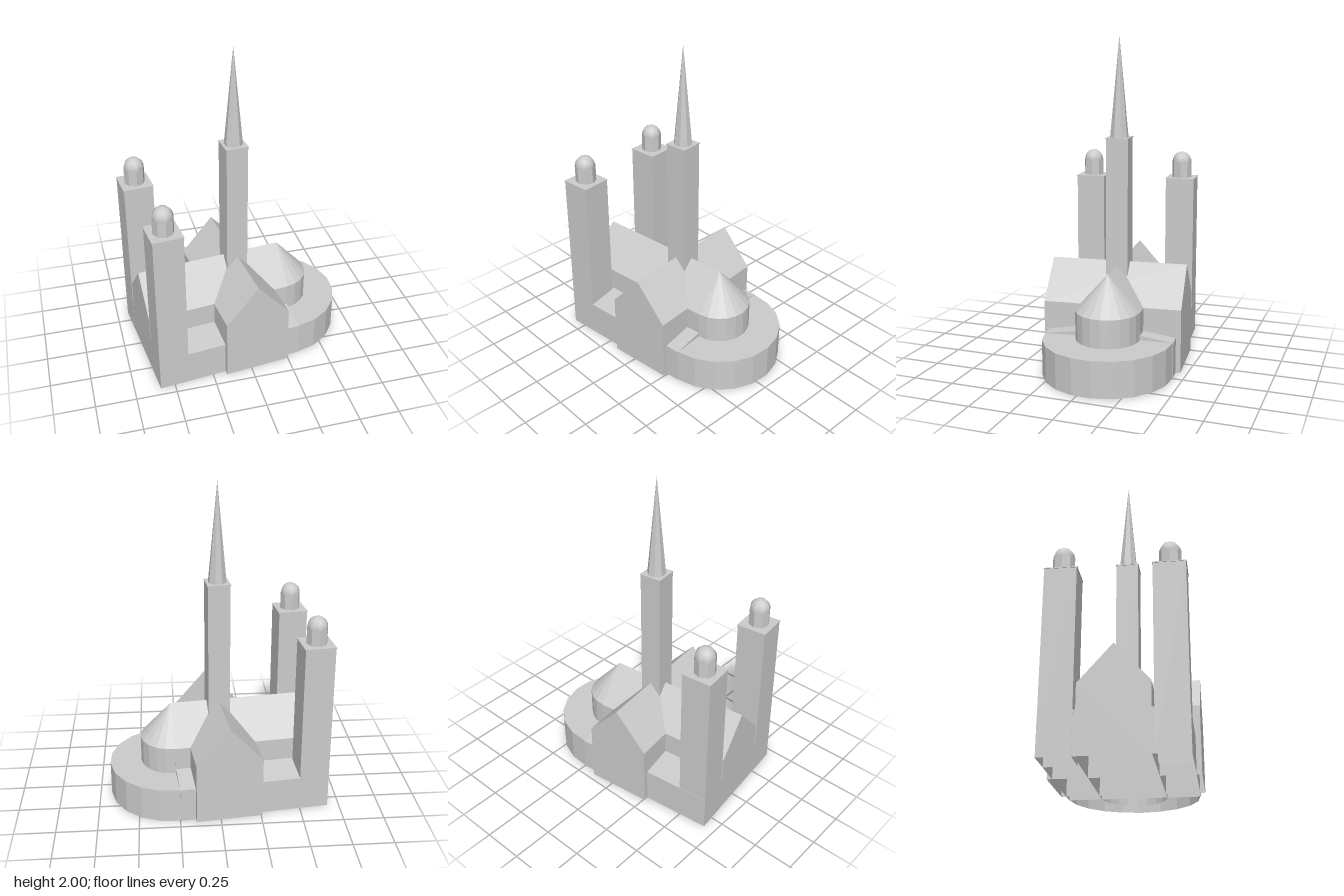
import * as THREE from 'three';

const HALF_NAVE = 0.196, HALF_AISLE = 0.395, APSE_U = 0.298, WEST = -0.63;

// Remove the faces lying on the ground, leaving a hollow shell
function openBottom(geometry) {
  const flat = geometry.index ? geometry.toNonIndexed() : geometry;
  const p = flat.attributes.position;
  const kept = [];
  for (let i = 0; i < p.count; i += 3) {
    if (Math.max(p.getY(i), p.getY(i + 1), p.getY(i + 2)) < 1e-4) continue;
    for (let j = i; j < i + 3; j++) kept.push(p.getX(j), p.getY(j), p.getZ(j));
  }
  const out = new THREE.BufferGeometry();
  out.setAttribute('position', new THREE.Float32BufferAttribute(kept, 3));
  out.computeVertexNormals();
  return out;
}

// Extrude a cross-section (points x, y) along z from 0 to length
function prism(points, length) {
  const shape = new THREE.Shape(points.map(([x, y]) => new THREE.Vector2(x, y)));
  return openBottom(new THREE.ExtrudeGeometry(shape, { depth: length, bevelEnabled: false }));
}

const gable = (half, eaves, ridge) =>
  [[-half, 0], [half, 0], [half, eaves], [0, ridge], [-half, eaves]];

export function createModel() {
  const stone = new THREE.MeshStandardMaterial({ color: 0xcccccc });
  stone.name = 'stone grey';
  stone.side = THREE.DoubleSide;
  stone.flatShading = true;
  const smoothStone = stone.clone();
  smoothStone.flatShading = false;

  const model = new THREE.Group();
  model.name = 'church';
  const church = new THREE.Group();
  church.name = 'churchBody';
  church.position.set(-0.007, 0, -0.014);
  church.rotation.y = 0.111;
  model.add(church);

  const add = (name, geometry, x = 0, y = 0, z = 0, parent = church, material = stone) => {
    const mesh = new THREE.Mesh(geometry, material);
    mesh.name = name;
    mesh.position.set(x, y, z);
    parent.add(mesh);
    return mesh;
  };

  // Nave and transept with pitched roofs
  const nave = prism(gable(HALF_NAVE, 0.39, 0.61), APSE_U - WEST);
  nave.rotateY(Math.PI / 2);
  add('nave', nave, WEST);
  add('transept', prism(gable(0.205, 0.39, 0.62), 0.85), 0, 0, -0.425);

  // Low side aisles with gently sloping roofs
  for (const side of [-1, 1]) {
    const section = [[HALF_NAVE, 0], [HALF_AISLE, 0], [HALF_AISLE, 0.218], [HALF_NAVE, 0.247]];
    const aisle = prism(section, APSE_U - WEST);
    aisle.rotateY(Math.PI / 2); // section x now points to -z
    if (side > 0) {
      aisle.rotateY(Math.PI);
      add('leftAisle', aisle, APSE_U);
    } else {
      add('rightAisle', aisle, WEST);
    }
  }

  // Half-round apse with a conical roof
  const half = (top, bottom, h) =>
    new THREE.CylinderGeometry(top, bottom, h, 10, 1, true, 0, Math.PI).translate(0, h / 2, 0);
  add('apseWall', half(0.194, 0.194, 0.39), APSE_U);
  add('apseRoof', half(0, 0.194, 0.22), APSE_U, 0.39);

  // Low flat-roofed ambulatory around the apse
  add('ambulatoryWall', half(0.392, 0.392, 0.218), APSE_U);
  const ring = new THREE.RingGeometry(0.194, 0.392, 10, 1, -Math.PI / 2, Math.PI);
  ring.rotateX(-Math.PI / 2);
  add('ambulatoryRoof', ring, APSE_U, 0.218);

  // Square shaft finished with a thin overhanging slab
  const shaft = (name, parent, width, bottom, top) => {
    const body = new THREE.BoxGeometry(width, top - bottom, width);
    body.translate(0, (top + bottom) / 2, 0);
    add(name + 'Shaft', openBottom(body), 0, 0, 0, parent);
    add(name + 'Slab', new THREE.BoxGeometry(width + 0.006, 0.006, width + 0.006), 0, top - 0.002, 0, parent);
  };

  // Crossing tower and octagonal spire
  const crossing = new THREE.Group();
  crossing.name = 'crossingTower';
  church.add(crossing);
  shaft('crossing', crossing, 0.136, 0.45, 1.39);
  const spire = new THREE.ConeGeometry(0.057, 0.61, 8);
  spire.rotateY(Math.PI / 8);
  add('spire', spire, 0, 1.695, 0, crossing);

  // Pair of west towers with domed turrets
  for (const side of [-1, 1]) {
    const tower = new THREE.Group();
    tower.name = side > 0 ? 'leftWestTower' : 'rightWestTower';
    tower.position.set(-0.539, 0, side * 0.302);
    church.add(tower);
    shaft('tower', tower, 0.184, 0, 1.08);
    add('turretDrum', new THREE.CylinderGeometry(0.064, 0.064, 0.1, 8), 0, 1.13, 0, tower);
    add('turretDome', new THREE.SphereGeometry(0.064, 8, 6, 0, Math.PI * 2, 0, Math.PI / 2),
      0, 1.18, 0, tower, smoothStone).scale.y = 1.08;
  }
  return model;
}
